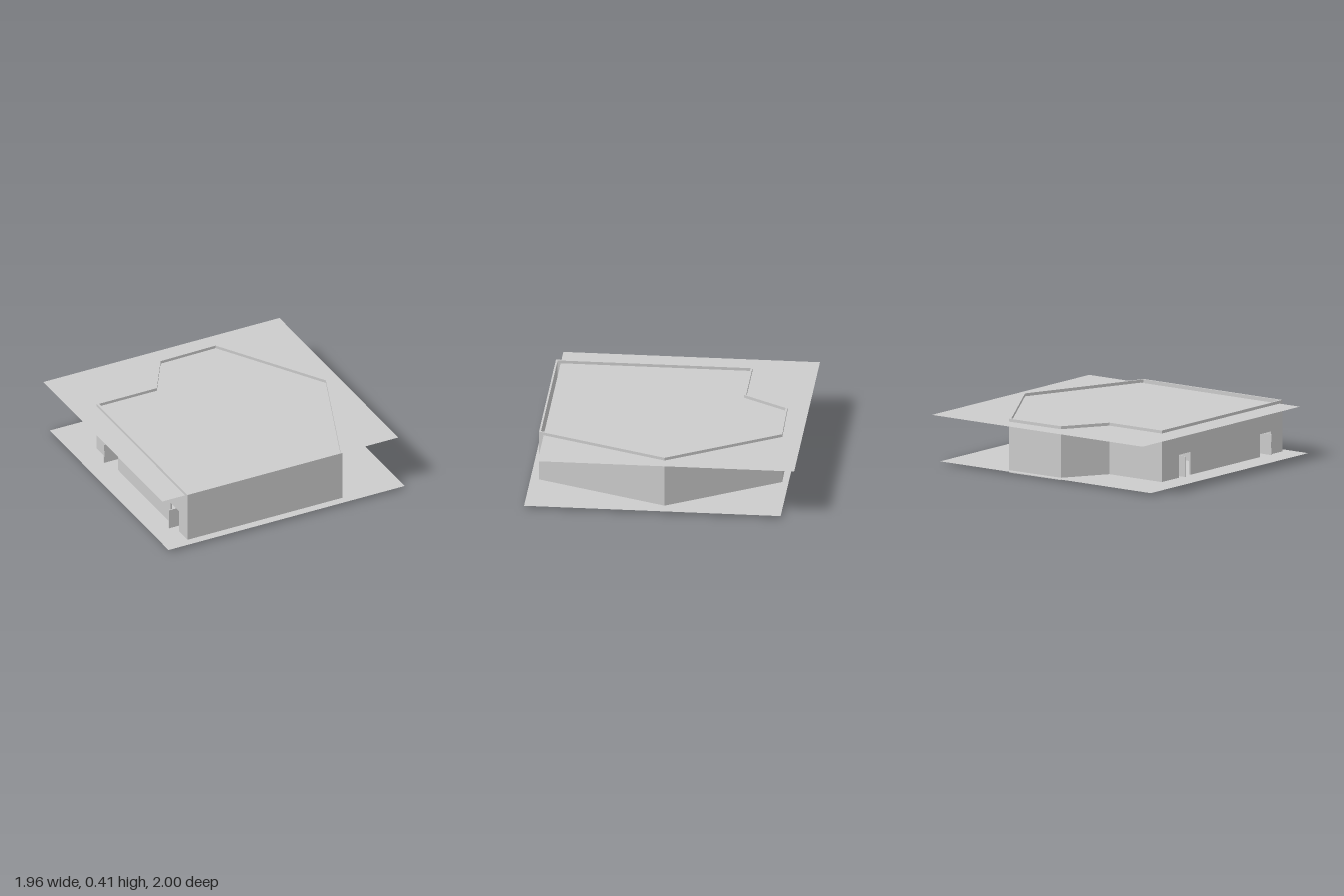
import * as THREE from 'three';

const material = new THREE.MeshStandardMaterial({ color: 0xcccccc, flatShading: true, side: THREE.DoubleSide });
const FLOOR = 0.018, ROOF = 0.383, TOP = 0.405, DOOR_TOP = 0.19, THICK = 0.014;

// Corners of the outer wall as [x, z], starting at the front
const outline = [
  [-0.79, 0.936], [0.5, 0.936], [0.877, -0.03], [0.373, -0.853],
  [-0.103, -0.845], [-0.303, -0.52], [-0.79, -0.52],
].map(([x, z]) => new THREE.Vector2(x, z));

// Inward normal of the edge from a to b
const normal = (a, b) => {
  const d = b.clone().sub(a).normalize();
  return new THREE.Vector2(d.y, -d.x);
};

// Mitred inner corners
const inner = outline.map((p, i) => {
  const n = outline.length;
  const n1 = normal(outline[(i + n - 1) % n], p);
  const n2 = normal(p, outline[(i + 1) % n]);
  const m = n1.clone().add(n2);
  return p.clone().addScaledVector(m, THICK / (1 + n1.dot(n2)));
});

// Upright prism over a footprint of [x, z] points
function prism(name, points, y0, y1) {
  const shape = new THREE.Shape(points.map((p) => new THREE.Vector2(p.x, -p.y)));
  const geometry = new THREE.ExtrudeGeometry(shape, { depth: y1 - y0, bevelEnabled: false });
  geometry.rotateX(-Math.PI / 2).translate(0, y0, 0);
  const mesh = new THREE.Mesh(geometry, material);
  mesh.name = name;
  return mesh;
}

function box(name, x0, x1, y0, y1, z0, z1) {
  const mesh = new THREE.Mesh(new THREE.BoxGeometry(x1 - x0, y1 - y0, z1 - z0), material);
  mesh.position.set((x0 + x1) / 2, (y0 + y1) / 2, (z0 + z1) / 2);
  mesh.name = name;
  return mesh;
}

function slab(name, y, z0, z1) {
  const mesh = new THREE.Mesh(new THREE.PlaneGeometry(1.96, z1 - z0).rotateX(-Math.PI / 2), material);
  mesh.position.set(0, y, (z0 + z1) / 2);
  mesh.name = name;
  return mesh;
}

function partition([x0, z0, x1, z1]) {
  const a = new THREE.Vector2(x0, z0), b = new THREE.Vector2(x1, z1);
  const n = normal(a, b).multiplyScalar(THICK / 2);
  const corners = [a.clone().add(n), b.clone().add(n), b.clone().sub(n), a.clone().sub(n)];
  return prism('partition', corners, FLOOR, ROOF - 0.001);
}

export function createModel() {
  const model = new THREE.Group();
  model.name = 'building';

  // Thin floor and roof sheets, offset from each other in z
  model.add(slab('floor', FLOOR, -0.9, 1), slab('roof', ROOF, -1, 0.9));

  // Outer walls; the last edge is the wall with the doors
  const walls = new THREE.Group();
  walls.name = 'outerWalls';
  const last = outline.length - 1;
  for (let i = 0; i < last; i++) {
    walls.add(prism('wall', [outline[i], outline[i + 1], inner[i + 1], inner[i]], 0, TOP));
  }
  walls.add(prism('wallAboveDoors', [outline[last], outline[0], inner[0], inner[last]], DOOR_TOP, TOP));
  const x0 = outline[0].x, x1 = inner[0].x;
  for (const [z0, z1] of [[-0.52, -0.31], [-0.175, 0.665], [0.8, 0.936]]) {
    walls.add(box('wallBesideDoor', x0, x1, 0, DOOR_TOP, z0, z1));
  }
  model.add(walls);

  // Open door leaves with a small handle on each
  for (const z of [-0.3, 0.74]) {
    const door = new THREE.Group();
    door.name = 'door';
    door.add(box('doorLeaf', -0.843, -0.725, 0.028, 0.183, z - 0.004, z + 0.004));
    door.add(box('doorHandle', -0.841, -0.835, 0.08, 0.125, z - 0.008, z + 0.008));
    model.add(door);
  }

  // Inner partitions
  const rooms = new THREE.Group();
  rooms.name = 'partitions';
  const lines = [
    [0.62, -0.43, 0.34, -0.105], [0.34, -0.105, -0.074, -0.105], [-0.074, -0.105, -0.295, -0.51],
    [-0.074, -0.105, -0.306, 0.24], [-0.306, 0.24, -0.778, 0.24],
    [-0.306, 0.24, -0.06, 0.64], [0.49, 0.92, 0.194, 0.35],
  ];
  lines.forEach((line) => rooms.add(partition(line)));
  model.add(rooms);

  // Low cabinets against the inside of the front wall
  for (const [a, b] of [[-0.6, -0.385], [-0.055, 0.16]]) {
    model.add(box('cabinet', a, b, FLOOR, 0.12, 0.86, 0.921));
  }
  return model;
}
